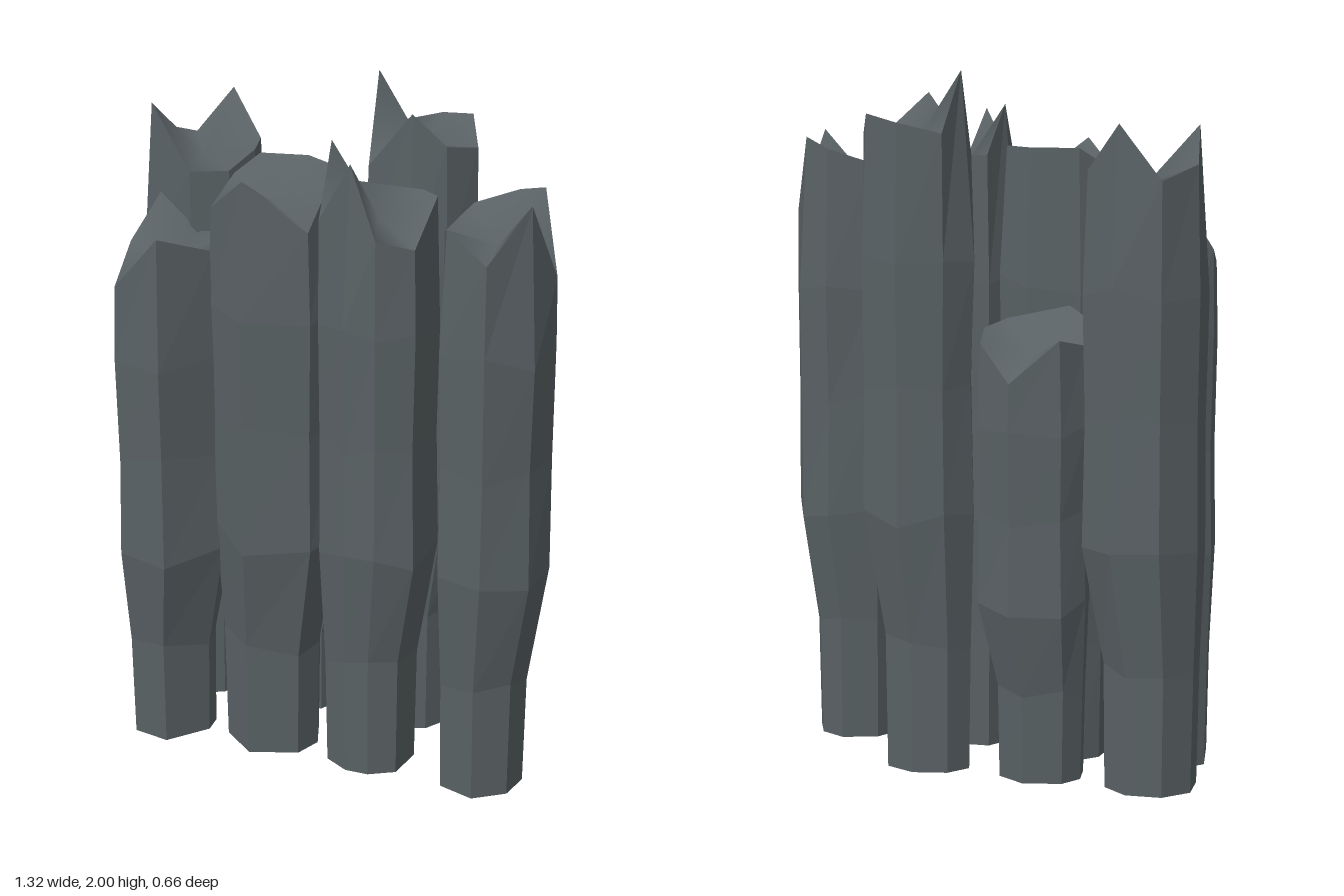
import * as THREE from 'three';

const SIDES = 8;

// Each column: centre [x, z], half widths [x, z], the bearing of each corner
// in degrees (left 0, back 90, right 180, front 270) and its height at the rim.
const COLUMNS = [
  { name: 'frontColumn1', at: [-0.475, 0.15], half: [0.17, 0.18],
    corners: [27, 60, 100, 137, 165, 190, 256, 308],
    rim: [1.5, 1.64, 1.52, 1.55, 1.56, 1.54, 1.6, 1.44] },
  { name: 'frontColumn2', at: [-0.155, 0.125], half: [0.187, 0.182],
    corners: [28, 55, 104, 140, 184, 220, 283, 340],
    rim: [1.73, 1.78, 1.78, 1.78, 1.77, 1.65, 1.79, 1.67] },
  { name: 'frontColumn3', at: [0.155, 0.15], half: [0.178, 0.152],
    corners: [5, 46, 122, 158, 218, 256, 286, 325],
    rim: [1.89, 1.75, 1.74, 1.75, 1.64, 1.67, 1.87, 1.69] },
  { name: 'frontColumn4', at: [0.495, 0.15], half: [0.168, 0.182],
    corners: [10, 46, 95, 134, 172, 213, 262, 314],
    rim: [1.66, 1.72, 1.76, 1.79, 1.57, 1.8, 1.65, 1.72] },
  { name: 'backColumn1', at: [-0.49, -0.165], half: [0.18, 0.17],
    corners: [19, 62, 107, 148, 188, 224, 262, 332],
    rim: [1.76, 1.72, 1.87, 1.74, 1.74, 1.7, 1.7, 1.86] },
  { name: 'backColumn2', at: [-0.165, -0.16], half: [0.168, 0.153],
    corners: [11, 46, 99, 145, 188, 225, 300, 330],
    rim: [1.25, 1.27, 1.15, 1.25, 1.28, 1.3, 1.34, 1.32] },
  { name: 'backColumn3', at: [0.175, -0.16], half: [0.178, 0.15],
    corners: [12, 50, 95, 138, 188, 230, 265, 315],
    rim: [2, 1.83, 1.86, 1.88, 1.82, 1.84, 1.93, 1.76] },
];

// Width of the rings from the foot to just under the rim
const SWELL = [0.75, 0.78, 1, 0.96, 1];

// Small repeatable irregularity in -1..1
function seeded(seed) {
  let s = seed;
  return () => {
    s = (s * 16807) % 2147483647;
    return (s / 2147483647) * 2 - 1;
  };
}

function makeGeometry(positions, index) {
  const geometry = new THREE.BufferGeometry();
  geometry.setAttribute('position', new THREE.Float32BufferAttribute(positions, 3));
  geometry.setIndex(index);
  return geometry;
}

function makeColumn({ name, at, half, corners, rim }, seed, material) {
  const rand = seeded(seed);
  const mean = rim.reduce((sum, y) => sum + y, 0) / SIDES;
  const footCentre = [at[0] - 0.022, at[1] * 0.93];

  const corner = (k, scale, y, centre) => {
    const angle = THREE.MathUtils.degToRad(corners[k]);
    return [
      centre[0] - half[0] * scale * Math.cos(angle),
      y,
      centre[1] - half[1] * scale * Math.sin(angle),
    ];
  };

  // Stacked rings; the narrow foot sits slightly off centre
  const positions = SWELL.flatMap((scale, i) =>
    corners.flatMap((_, k) => {
      const y = (mean * i) / 5 + (i > 0 ? rand() * 0.025 : 0);
      return corner(k, scale + (i > 1 ? rand() * 0.02 : 0), y, i < 2 ? footCentre : at);
    })
  );

  // Broken rim: taller corners lean inwards
  const rimPoints = rim.flatMap((y, k) =>
    corner(k, Math.min(0.97, 0.92 - (y - mean)), y, at)
  );
  const last = SWELL.length * SIDES;
  const foot = last + SIDES;
  positions.push(...rimPoints, footCentre[0], 0, footCentre[1]);

  const sideIndex = [];
  const topIndex = [];
  for (let k = 0; k < SIDES; k++) {
    const m = (k + 1) % SIDES;
    for (let a = k, b = m; a < last; a += SIDES, b += SIDES) {
      sideIndex.push(b, a, a + SIDES, b, a + SIDES, b + SIDES);
    }
    sideIndex.push(foot, k, m);
    topIndex.push(SIDES, m, k);
  }

  // Faceted shaft with its foot
  const shaft = new THREE.Mesh(makeGeometry(positions, sideIndex).toNonIndexed(), material);
  shaft.geometry.computeVertexNormals();
  shaft.name = 'shaft';

  // Smooth hollow top
  const top = new THREE.Mesh(
    makeGeometry([...rimPoints, at[0], mean - 0.06, at[1]], topIndex), material
  );
  top.geometry.computeVertexNormals();
  top.name = 'hollowTop';

  const column = new THREE.Group();
  column.name = name;
  column.add(shaft, top);
  return column;
}

export function createModel() {
  const group = new THREE.Group();
  group.name = 'rockColumns';
  const stone = new THREE.MeshStandardMaterial({ color: 0x596164 });
  stone.name = 'slate grey stone';

  COLUMNS.forEach((column, i) => group.add(makeColumn(column, 101 + i * 977, stone)));
  return group;
}
